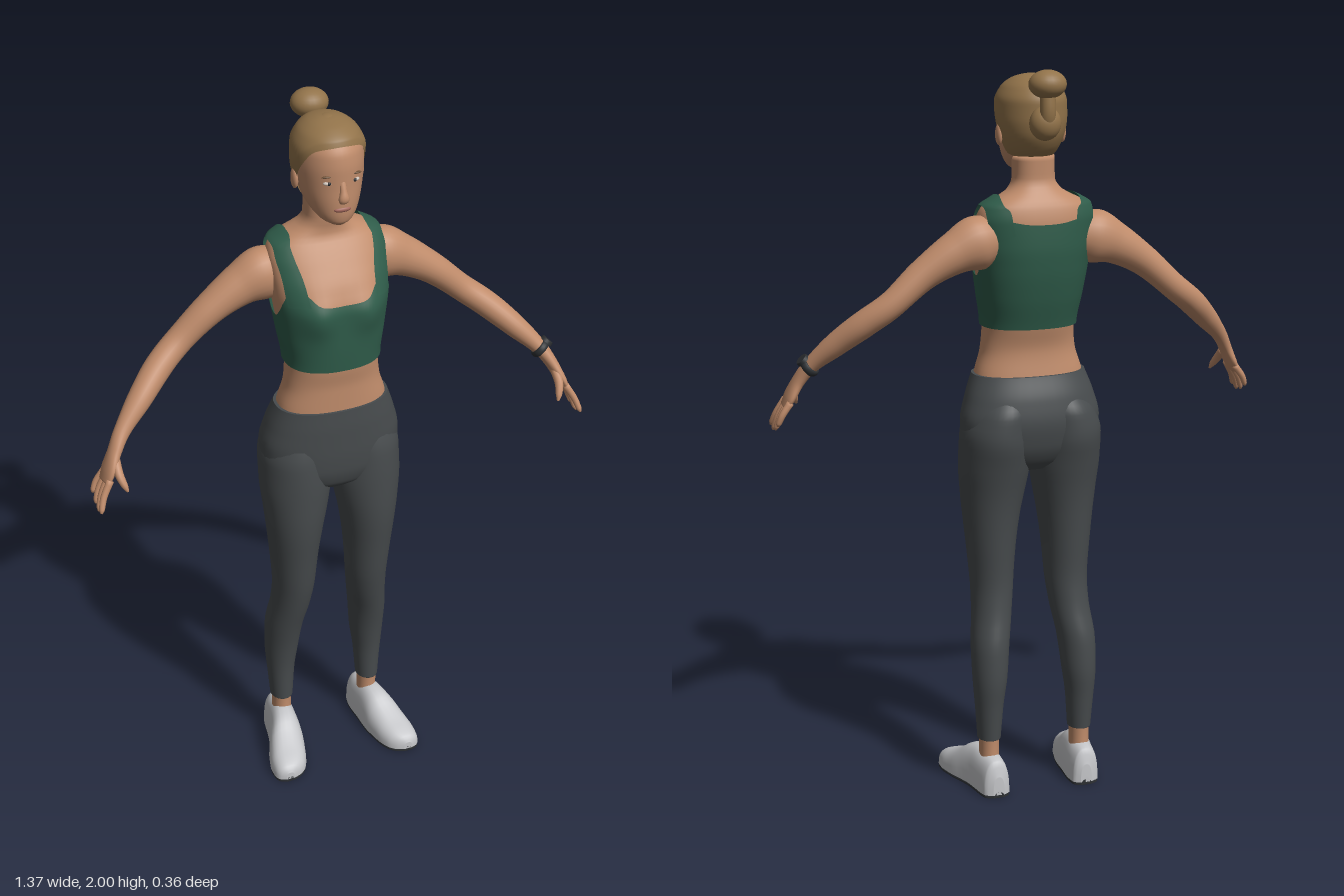
import * as THREE from 'three';

const mat = (name, color, side = THREE.FrontSide) => {
  const m = new THREE.MeshStandardMaterial({ color, side });
  m.name = name;
  return m;
};

// Monotone cubic lookup in rows [t, a, b, ...], ascending in t
function sample(rows, t) {
  const n = rows.length;
  t = Math.min(Math.max(t, rows[0][0]), rows[n - 1][0]);
  let i = 0;
  while (i < n - 2 && t > rows[i + 1][0]) i++;
  const h = rows[i + 1][0] - rows[i][0], s = (t - rows[i][0]) / h;
  const slope = (j, k) => (rows[j + 1][k] - rows[j][k]) / (rows[j + 1][0] - rows[j][0]);
  const tangent = (j, k) => {
    if (j === 0) return slope(0, k);
    if (j === n - 1) return slope(n - 2, k);
    const a = slope(j - 1, k), b = slope(j, k);
    return a * b <= 0 ? 0 : (2 * a * b) / (a + b);
  };
  return rows[i].slice(1).map((p, c) => {
    const k = c + 1, q = rows[i + 1][k], s2 = s * s, s3 = s2 * s;
    return p * (2 * s3 - 3 * s2 + 1) + q * (3 * s2 - 2 * s3)
      + h * (tangent(i, k) * (s3 - 2 * s2 + s) + tangent(i + 1, k) * (s3 - s2));
  });
}

// Grid surface fn(u, v) -> [x, y, z]; closed surfaces wrap in u, caps close the ends in v
function sheet(fn, nu, nv, { closed = true, caps = false } = {}) {
  const pos = [], idx = [], cols = closed ? nu : nu + 1;
  for (let j = 0; j <= nv; j++)
    for (let i = 0; i < cols; i++) pos.push(...fn(i / nu, j / nv));
  const at = (i, j) => j * cols + (i % cols);
  for (let j = 0; j < nv; j++)
    for (let i = 0; i < nu; i++) {
      const a = at(i, j), b = at(i + 1, j), c = at(i, j + 1), d = at(i + 1, j + 1);
      idx.push(a, c, b, b, c, d);
    }
  if (caps) for (const j of [0, nv]) {
    const mid = [0, 0, 0], centre = pos.length / 3;
    for (let i = 0; i < nu; i++) for (let k = 0; k < 3; k++) mid[k] += pos[at(i, j) * 3 + k] / nu;
    pos.push(...mid);
    for (let i = 0; i < nu; i++)
      idx.push(...(j ? [at(i, j), centre, at(i + 1, j)] : [at(i, j), at(i + 1, j), centre]));
  }
  const g = new THREE.BufferGeometry();
  g.setAttribute('position', new THREE.Float32BufferAttribute(pos, 3));
  g.setIndex(idx);
  g.computeVertexNormals();
  return g;
}

function mirror(geo) {
  const g = geo.clone().scale(-1, 1, 1), a = g.index.array;
  for (let i = 0; i < a.length; i += 3) [a[i], a[i + 1]] = [a[i + 1], a[i]];
  g.computeVertexNormals();
  return g;
}

const ease = v => (1 - Math.cos(Math.PI * v)) / 2;
const pw = (v, e) => Math.sign(v) * Math.abs(v) ** e;

// Horizontal section point: rows are [y, halfWidth, zFront, zBack, centreX]
function section(rows, angle, y, off = 0, e = 1) {
  const [w, zf, zb, cx = 0] = sample(rows, y);
  return [cx + (w + off) * pw(Math.cos(angle), e), y,
    (zf + zb) / 2 + ((zf - zb) / 2 + off) * pw(Math.sin(angle), e)];
}
const column = (rows, e, nv = 40) => {
  const y0 = rows[0][0], y1 = rows[rows.length - 1][0];
  return sheet((u, v) => section(rows, u * 2 * Math.PI, y0 + (y1 - y0) * ease(v), 0, e), 40, nv, { caps: true });
};

// Tapered limb through rows [x, y, z, radiusAcross, radiusThick]
function limb(rows, nu = 18, nv = 36) {
  const path = new THREE.CatmullRomCurve3(rows.map(r => new THREE.Vector3(r[0], r[1], r[2])));
  const radii = rows.map((r, i) => [i / (rows.length - 1), r[3], r[4] ?? r[3]]);
  return sheet((u, v) => {
    const p = path.getPoint(v), t = path.getTangent(v);
    const s = new THREE.Vector3(0, 0, 1).addScaledVector(t, -t.z).normalize();
    const n = s.clone().cross(t), [a, b] = sample(radii, v);
    return p.addScaledVector(s, a * Math.cos(u * 2 * Math.PI))
      .addScaledVector(n, b * Math.sin(u * 2 * Math.PI)).toArray();
  }, nu, nv, { caps: true });
}

const TORSO = [
  [1.10, .160, .100, -.090], [1.18, .150, .106, -.076], [1.25, .130, .106, -.068], [1.315, .124, .114, -.082],
  [1.40, .136, .118, -.105], [1.48, .148, .118, -.120], [1.54, .156, .100, -.125], [1.60, .158, .064, -.123],
  [1.64, .145, .036, -.115], [1.66, .115, .022, -.105], [1.68, .076, .020, -.092], [1.71, .056, .024, -.079],
  [1.77, .055, .025, -.080]];
const PELVIS = [
  [.92, .080, .070, -.050], [.95, .150, .100, -.085], [1.0, .192, .113, -.108], [1.06, .194, .116, -.117],
  [1.12, .180, .116, -.108], [1.185, .157, .113, -.083]];
const LEG = [
  [.155, .032, .002, -.076, .134], [.25, .039, .006, -.086, .134], [.34, .048, .018, -.096, .131],
  [.42, .052, .036, -.093, .127], [.52, .055, .063, -.070, .114], [.60, .059, .081, -.062, .109],
  [.70, .067, .096, -.068, .109], [.80, .079, .110, -.077, .107], [.86, .088, .114, -.086, .104],
  [.94, .097, .115, -.104, .101], [1.02, .096, .112, -.121, .100], [1.08, .085, .100, -.118, .090],
  [1.14, .050, .070, -.080, .080]];
const ANKLE = [[.07, .028, 0, -.072, .134], [.12, .027, -.004, -.07, .134], [.18, .029, -.002, -.072, .134]];
const HEAD = [
  [1.722, .022, .085, .020], [1.735, .042, .098, 0], [1.76, .062, .103, -.050], [1.79, .075, .104, -.085],
  [1.83, .084, .103, -.104], [1.87, .088, .103, -.110], [1.91, .086, .098, -.110], [1.945, .070, .077, -.093],
  [1.965, .046, .046, -.068], [1.975, .018, .008, -.030], [1.977, .001, -.010, -.012]];
// Shoe rows: z, centre x, half width, height
const SHOE = [
  [-.112, .130, .016, .06], [-.100, .132, .036, .104], [-.06, .134, .043, .112], [-.01, .140, .045, .122],
  [.03, .147, .050, .115], [.07, .157, .055, .090], [.11, .167, .055, .070], [.15, .176, .047, .055],
  [.17, .182, .032, .044], [.178, .184, .012, .030]];

function torsoPoint(angle, y, off = 0) {
  const p = section(TORSO, angle, y, off, .85);
  if (p[2] > 0) // bust
    p[2] += .016 * Math.exp(-(((Math.abs(p[0]) - .072) / .045) ** 2) - ((y - 1.475) / .055) ** 2);
  return p;
}

export function createModel() {
  const model = new THREE.Group();
  const skin = mat('skin', 0xc08c6b), hair = mat('hair', 0x92734a, THREE.DoubleSide);
  const green = mat('green fabric', 0x2f5c4a, THREE.DoubleSide), grey = mat('dark grey fabric', 0x474b4d, THREE.DoubleSide);
  const white = mat('shoe white', 0xc6c7ca), dark = mat('dark rubber', 0x2c2f32);
  const lip = mat('lips', 0xa0655a), brow = mat('brow', 0x6b4f35), eyeWhite = mat('eye white', 0xcfc4ba);
  const add = (name, geo, material, parent = model) => {
    const m = new THREE.Mesh(geo, material);
    m.name = name;
    parent.add(m);
    return m;
  };
  const pair = (name, geo, material) => {
    add(name + 'Left', geo, material);
    add(name + 'Right', mirror(geo), material);
  };
  const ball = (x, y, z, a, b, c) => new THREE.SphereGeometry(1, 24, 16).scale(a, b, c).translate(x, y, z);

  // Torso and neck
  add('torso', sheet((u, v) => torsoPoint(u * 2 * Math.PI, 1.10 + .67 * v), 48, 60, { caps: true }), skin);

  // Cropped top: body with a shaped upper edge, then the shoulder straps
  const topEdge = [[-1, 1.60], [-.85, 1.61], [-.7, 1.605], [-.5, 1.56], [0, 1.455], [.5, 1.52], [.72, 1.56],
    [.86, 1.54], [.94, 1.515], [1, 1.508]];
  add('cropTop', sheet((u, v) => {
    const a = u * 2 * Math.PI, y1 = sample(topEdge, Math.sin(a))[0];
    return torsoPoint(a, 1.315 + (y1 - 1.315) * v, .007);
  }, 96, 28), green);
  const edge = pts => new THREE.CatmullRomCurve3(pts.map(([d, y]) => new THREE.Vector3(d * Math.PI / 180, y, 0)));
  const outer = edge([[33, 1.50], [32, 1.57], [24, 1.622], [0, 1.643], [-24, 1.625], [-32, 1.59], [-34, 1.54]]);
  const inner = edge([[60, 1.51], [58, 1.57], [48, 1.635], [0, 1.669], [-48, 1.645], [-60, 1.62], [-64, 1.57]]);
  pair('strap', sheet((u, v) => {
    const p = outer.getPoint(1 - u).lerp(inner.getPoint(1 - u), v), q = torsoPoint(p.x, p.y, .008);
    q[1] += .004;
    return q;
  }, 40, 6, { closed: false }), green);

  // Leggings, ankles and shoes
  add('leggingsHips', column(PELVIS, .88), grey);
  pair('leggingsLeg', column(LEG, 1, 56), grey);
  pair('ankle', column(ANKLE, 1, 8), skin);
  const footPart = (base, limit, grow) => sheet((u, v) => {
    const z = -.112 + .29 * ease(v), [cx, w, h] = sample(SHOE, z), a = u * 2 * Math.PI, s = Math.sin(a);
    const top = Math.min(h, limit);
    return [cx - (w + grow) * pw(Math.cos(a), .8), s > 0 ? base + (top - base) * s ** .75 : base, z];
  }, 32, 32, { caps: true });
  pair('shoe', footPart(.008, 1, 0), white);
  pair('sole', footPart(0, .016, -.001), dark);

  // Arms and hands
  pair('arm', limb([
    [.10, 1.56, -.05, .045, .05], [.165, 1.55, -.05, .062, .072], [.225, 1.527, -.05, .054, .056],
    [.31, 1.475, -.046, .044, .042], [.40, 1.398, -.042, .038, .036], [.46, 1.352, -.018, .038, .036],
    [.525, 1.295, .024, .034, .032], [.592, 1.228, .066, .023, .021], [.617, 1.19, .084, .026, .017],
    [.640, 1.145, .097, .038, .014], [.653, 1.118, .102, .034, .010]], 24, 72), skin);
  [-.029, -.010, .010, .028].forEach((o, i) => {
    const drop = [.048, .064, .070, .062][i];
    pair('finger' + (i + 1), limb([
      [.645, 1.132, .101 + o, .010], [.668, 1.124 - drop * .5, .106 + o * 1.25, .009],
      [.678, 1.118 - drop * .85, .114 + o * 1.4, .0075], [.681, 1.118 - drop, .117 + o * 1.45, .003]], 10, 12), skin);
  });
  pair('thumb', limb([[.622, 1.175, .100, .013], [.622, 1.148, .132, .012],
    [.614, 1.123, .152, .009], [.608, 1.108, .160, .003]], 10, 12), skin);

  // Watch on the left wrist
  const watch = new THREE.Group();
  watch.name = 'watch';
  const along = new THREE.Vector3(.64, -.64, .42).normalize(), out = new THREE.Vector3(1, 1, 0).normalize();
  watch.matrix.makeBasis(out, along.clone().cross(out), along).setPosition(.592, 1.228, .066);
  watch.matrix.decompose(watch.position, watch.quaternion, watch.scale);
  add('watchBand', new THREE.TorusGeometry(.024, .005, 10, 32).scale(1, 1.08, 2), dark, watch);
  add('watchFace', new THREE.CylinderGeometry(.017, .019, .01, 24).rotateZ(-Math.PI / 2).translate(.027, 0, 0), dark, watch);
  model.add(watch);

  // Head and face
  add('head', column(HEAD, 1, 48), skin);
  add('nose', limb([[0, 1.852, .096, .005, .008], [0, 1.825, .104, .008, .009], [0, 1.803, .108, .011, .014],
    [0, 1.792, .103, .006, .010]], 14, 14), skin);
  add('mouth', ball(0, 1.772, .0985, .023, .0075, .008), lip);
  pair('ear', ball(.088, 1.825, -.008, .009, .028, .017), skin);
  pair('eye', ball(.034, 1.845, .0885, .014, .0055, .0085), eyeWhite);
  pair('iris', ball(.034, 1.845, .0935, .0055, .005, .0045), dark);
  pair('eyebrow', ball(.036, 1.863, .0905, .017, .003, .006).rotateZ(0), brow);

  // Hair pulled back into a high bun
  const hairline = [[-1, 1.765], [-.4, 1.775], [0, 1.825], [.4, 1.885], [.7, 1.922], [1, 1.935]];
  add('hair', sheet((u, v) => {
    const a = u * 2 * Math.PI, y0 = sample(hairline, Math.sin(a))[0];
    const p = section(HEAD, a, y0 + (1.977 - y0) * Math.sin(v * Math.PI / 2), .002 + .005 * Math.min(1, v * 5));
    p[1] += .004 * v;
    return p;
  }, 64, 32), hair);
  add('hairCrown', ball(0, 1.974, -.011, .02, .008, .022), hair);
  add('bunBase', ball(0, 1.862, -.118, .042, .045, .036), hair);
  add('bunStem', limb([[0, 1.85, -.125, .022], [0, 1.89, -.137, .021], [0, 1.945, -.135, .02]], 16, 12), hair);
  add('bun', ball(0, 1.963, -.135, .05, .037, .045), hair);
  return model;
}
